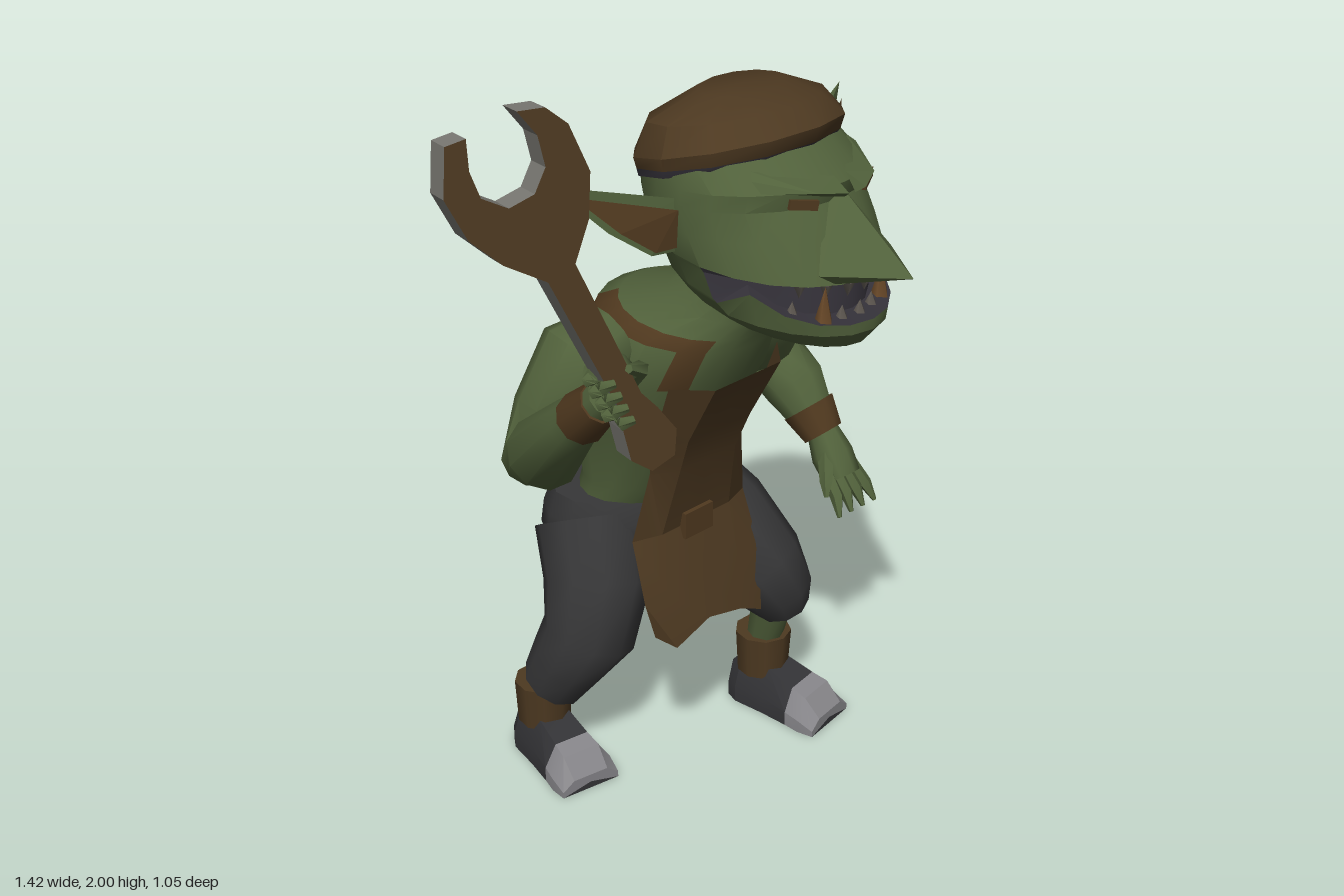
import * as THREE from 'three';
import { toCreasedNormals } from 'three/addons/utils/BufferGeometryUtils.js';
import { ConvexGeometry } from 'three/addons/geometries/ConvexGeometry.js';

const V = (x, y, z) => new THREE.Vector3(x, y, z);
const rad = THREE.MathUtils.degToRad;

function material(name, color) {
  const m = new THREE.MeshStandardMaterial({ color });
  m.name = name;
  return m;
}

// Skins closed rings (counter-clockwise about the path); pick(row, column) gives a material index
function loft(rings, crease = 0.7, pick = () => 0) {
  const n = rings[0].length, pos = [], faces = [];
  rings.forEach(r => r.forEach(p => pos.push(p.x, p.y, p.z)));
  for (const r of [rings[0], rings.at(-1)]) {
    const c = r.reduce((s, p) => s.add(p), V(0, 0, 0)).divideScalar(n);
    pos.push(c.x, c.y, c.z);
  }
  const last = (rings.length - 1) * n, c0 = rings.length * n;
  const put = (k, ...t) => (faces[k] ??= []).push(...t);
  for (let j = 0; j < n; j++) {
    const k = (j + 1) % n;
    for (let i = 0; i < rings.length - 1; i++) {
      const a = i * n + j, b = i * n + k;
      put(pick(i, j), a, b, b + n, a, b + n, a + n);
    }
    put(pick(0, j), c0, k, j);
    put(pick(rings.length - 2, j), c0 + 1, last + j, last + k);
  }
  const g = new THREE.BufferGeometry(), index = [];
  g.setAttribute('position', new THREE.Float32BufferAttribute(pos, 3));
  faces.forEach((f, k) => { g.addGroup(index.length, f.length, k); index.push(...f); });
  g.setIndex(index);
  return toCreasedNormals(g, crease);
}

// Slanted oval ring from a front point to a back point: [frontZ, frontY, backZ, backY, halfWidth]
function oval([fz, fy, bz, by, w], cx, degrees) {
  return degrees.map(d => {
    const a = rad(d), t = (1 + Math.cos(a)) / 2;
    return V(cx + w * Math.sin(a), by + (fy - by) * t, bz + (fz - bz) * t);
  });
}
const even = n => Array.from({ length: n }, (_, i) => i * 360 / n);

// Tapered limb through points [x, y, z, radius]
function limb(points, sides = 10) {
  const p = points.map(q => V(q[0], q[1], q[2]));
  return loft(p.map((c, i) => {
    const t = p[Math.min(i + 1, p.length - 1)].clone().sub(p[Math.max(i - 1, 0)]).normalize();
    const v = V(0, 0, 1).addScaledVector(t, -t.z).normalize(), u = t.clone().cross(v);
    return even(sides).map(d => c.clone()
      .addScaledVector(u, Math.sin(rad(d)) * points[i][3])
      .addScaledVector(v, Math.cos(rad(d)) * points[i][3]));
  }), 0.9);
}

export function createModel() {
  const model = new THREE.Group();
  const skin = material('green skin', 0x51613b), leather = material('brown leather', 0x4d3921);
  const strap = material('strap brown', 0x50391f), cloth = material('trouser grey', 0x373738);
  const boot = material('boot grey', 0x343437), steel = material('steel', 0x7b7a74);
  const toe = material('toe cap grey', 0x87868a), dark = material('dark', 0x35323a);
  const fang = material('tusk', 0x684828), ivory = material('dull teeth', 0x5c564f);
  leather.side = THREE.DoubleSide;
  const add = (name, geo, mat, parent = model) => {
    const m = new THREE.Mesh(geo, mat);
    m.name = name;
    parent.add(m);
    return m;
  };

  // Torso, with the apron straps as narrow columns
  const half = [0, 18, 34, 52, 72, 95, 115, 132, 146, 164, 180];
  const around = [...half, ...half.slice(1, -1).reverse().map(d => 360 - d)];
  const torso = [[-.17, .72, -.42, .72, .17], [-.12, .8, -.41, .78, .165], [-.03, .98, -.435, .95, .205],
    [.06, 1.14, -.405, 1.13, .235], [.1, 1.24, -.335, 1.28, .21], [.11, 1.27, -.28, 1.305, .175],
    [.13, 1.31, -.14, 1.35, .115], [.16, 1.38, -.02, 1.42, .085]];
  add('torso', loft(torso.map(r => oval(r, .17, around)), 0.8, (i, j) => {
    const c = Math.min(j, 19 - j);
    return (c === 7 && i < 4) || (c === 2 && i === 3) || (c >= 2 && c <= 7 && i === 4) ? 1 : 0;
  }), [skin, strap]);

  // Apron sheet: [y, left x, right x, middle z, edge z]
  const rows = [[1.15, -.005, .36, .08, 0], [.98, 0, .35, -.01, -.06], [.88, .02, .335, -.05, -.09],
    [.7, -.02, .365, -.085, -.11], [.56, -.045, .355, -.035, -.04], [.44, -.05, .325, 0, 0]];
  const hem = [.49, .425, .465, .44, .405], cols = [0, .2, .5, .8, 1], pts = [], idx = [];
  rows.forEach(([y, l, r, zm, ze], i) => cols.forEach((f, j) => {
    pts.push(l + (r - l) * f, i === 5 ? hem[j] : y, j % 4 ? zm : ze);
    if (i && j) {
      const a = i * 5 + j;
      idx.push(a - 6, a - 1, a, a - 6, a, a - 5);
    }
  }));
  const sheet = new THREE.BufferGeometry();
  sheet.setAttribute('position', new THREE.Float32BufferAttribute(pts, 3));
  sheet.setIndex(idx);
  add('apron', toCreasedNormals(sheet, 0.3), leather);
  const pocket = add('apronPocket', new THREE.BoxGeometry(.095, .07, .02), strap);
  pocket.position.set(.165, .705, -.075);

  // Trousers
  const hips = [[-.25, .47, -.4, .47, .1], [-.2, .53, -.48, .53, .19], [-.15, .62, -.52, .62, .238],
    [-.14, .69, -.505, .69, .24], [-.165, .75, -.48, .75, .22]];
  add('hips', loft(hips.map(r => oval(r, .17, even(14)))), cloth);
  add('leftTrouserLeg', limb([[.33, .66, -.31, .14], [.37, .56, -.21, .155], [.42, .45, -.09, .125],
    [.45, .39, -.065, .1], [.47, .335, -.065, .075]]), cloth);
  add('rightTrouserLeg', limb([[.03, .66, -.32, .14], [-.01, .53, -.25, .137], [-.055, .4, -.235, .12],
    [-.08, .31, -.285, .1], [-.09, .23, -.33, .085]]), cloth);

  // Belt pouch
  const pouch = new THREE.Group();
  pouch.name = 'beltPouch';
  pouch.position.set(.405, .6, -.4);
  pouch.rotation.set(.08, .35, .05);
  add('pouchBody', new THREE.BoxGeometry(.07, .16, .085), leather, pouch);
  add('pouchFlap', new THREE.BoxGeometry(.085, .05, .1), leather, pouch).position.y = .065;
  model.add(pouch);

  // Shins, ankle wraps and boots: side, ankle x, ankle z, shin top
  for (const [side, x, z, top] of [['left', .48, -.135, [.46, .4, -.07, .06]], ['right', -.095, -.37, [-.08, .28, -.32, .06]]]) {
    add(side + 'Shin', limb([top, [x, .17, z, .045]], 8), skin);
    const wrap = add(side + 'AnkleWrap', new THREE.CylinderGeometry(.075, .068, .12, 9), leather);
    wrap.position.set(x, .155, z);
    const foot = [[-.075, .05, .1], [-.04, .068, .125], [.05, .072, .125], [.13, .08, .1], [.175, .087, .088], [.22, .083, .04]];
    const shoe = add(side + 'Boot', loft(foot.map(([d, w, h]) =>
      [[w, 0], [w, .4 * h], [.6 * w, h], [-.6 * w, h], [-w, .4 * h], [-w, 0]].map(([a, b]) => V(a, b, d))),
      0.4, (i, j) => i > 2 && j < 5 ? 1 : 0), [boot, toe]);
    shoe.position.set(x, 0, z);
    shoe.rotation.y = side === 'left' ? .15 : -.17;
  }

  // Left arm hanging, open hand
  add('leftArm', limb([[.36, 1.24, -.17, .08], [.44, 1.205, -.18, .115], [.53, 1.07, -.225, .105],
    [.6, .96, -.255, .085], [.625, .88, -.18, .085], [.635, .77, -.09, .048]]), skin);
  add('leftWristband', limb([[.632, .825, -.135, .073], [.637, .765, -.085, .055]]), strap);
  add('leftPalm', limb([[.635, .78, -.09, .04], [.63, .72, -.045, .055], [.63, .67, -.01, .05]], 8), skin);
  for (let i = 0; i < 4; i++) {
    const x = .585 + i * .03;
    add('leftFinger', limb([[x, .69, -.02, .018], [x - .005 + i * .006, .64, .02, .018], [x - .02 + i * .015, .595, .045, .006]], 5), skin);
  }
  add('leftThumb', limb([[.6, .73, -.04, .022], [.56, .685, 0, .018], [.545, .65, .015, .006]], 5), skin);

  // Right arm raised
  add('rightArm', limb([[-.02, 1.24, -.17, .08], [-.1, 1.205, -.18, .115], [-.18, 1.07, -.2, .105],
    [-.255, .985, -.195, .075], [-.3, 1.06, -.1, .09], [-.335, 1.2, .04, .062], [-.355, 1.32, .17, .042]]), skin);
  add('rightWristband', limb([[-.338, 1.225, .07, .062], [-.352, 1.3, .15, .05]]), strap);

  // Wrench: brown faces, steel edges
  const outline = [[-.03, 0], [.03, 0], [.06, .05], [.045, .12], [.028, .17], [.032, .5], [.1, .565], [.148, .65],
    [.152, .76], [.125, .815], [.07, .84], [.085, .775], [.07, .71], [.025, .675], [-.035, .68], [-.075, .73], [-.07, .79],
    [-.045, .85], [-.09, .86], [-.142, .77], [-.138, .67], [-.1, .585], [-.036, .5], [-.03, .17], [-.045, .12], [-.06, .05]];
  const wrenchGeo = new THREE.ExtrudeGeometry(new THREE.Shape(outline.map(q => new THREE.Vector2(...q))),
    { depth: .07, bevelEnabled: false }).translate(0, 0, -.035);
  const axis = V(-.24, .64, -.16).normalize(), face = V(-.25, 0, 1);
  face.addScaledVector(axis, -face.dot(axis)).normalize();
  const wrench = add('wrench', wrenchGeo, [leather, steel]);
  wrench.quaternion.setFromRotationMatrix(new THREE.Matrix4().makeBasis(axis.clone().cross(face), axis, face));
  wrench.position.set(-.315, 1.2, .28);

  // Right fist, in the wrench's own frame
  add('rightPalm', new THREE.SphereGeometry(.055, 8, 6).scale(1, 1.15, .6).translate(.01, .19, -.05), skin, wrench);
  for (let i = 0; i < 4; i++) {
    const y = .14 + i * .032;
    add('rightFinger', limb([[-.02, y, -.055, .016], [-.046, y + .005, -.01, .017], [-.04, y, .042, .016], [-.015, y - .005, .047, .01]], 5), skin, wrench);
  }
  add('rightThumb', limb([[.045, .17, -.04, .022], [.055, .21, .02, .019], [.025, .24, .047, .01]], 5), skin, wrench);

  // Head, turned and tipped a little
  const headPivot = new THREE.Group(), head = new THREE.Group();
  headPivot.name = 'head';
  head.name = 'headParts';
  headPivot.position.set(.17, 1.55, .05);
  headPivot.rotation.set(0, .085, -.035);
  head.position.set(0, -1.55, -.05);
  headPivot.add(head);
  model.add(headPivot);
  // The lower lip curls up to meet the upper one at the corners of the mouth
  const ha = even(20), inMouth = d => Math.cos(rad(d)) > .1;
  const curl = a => .1 * (1 - Math.cos(a)) ** 2;
  const skull = [[.33, 1.33, .06, 1.33, .07], [.405, 1.345, 0, 1.37, .14], [.435, 1.385, -.06, 1.425, .2],
    [.435, 1.41, -.09, 1.465, .222], [.425, 1.418, -.1, 1.475, .225], [.41, 1.49, -.125, 1.52, .235],
    [.41, 1.5, -.135, 1.535, .243], [.365, 1.59, -.155, 1.58, .25], [.325, 1.66, -.165, 1.62, .25],
    [.335, 1.7, -.17, 1.66, .25], [.24, 1.765, -.165, 1.69, .24]];
  const skullRings = skull.map((r, i) => oval(r, 0, ha).map((p, j) => {
    if (inMouth(ha[j])) {
      if (i === 3 || i === 4) p.y += curl(rad(ha[j]));
      if (i === 4 || i === 5) {
        p.x *= .87;
        p.z = .15 + (p.z - .15) * .82;
      }
    }
    return p;
  }));
  add('skull', loft(skullRings, 0.5, (i, j) => i >= 3 && i <= 5 && inMouth(ha[j] + 9) ? 1 : 0), [skin, dark], head);

  // Teeth and tusks along the jaw
  for (let i = -3; i <= 3; i++) {
    for (const up of [true, false]) {
      const a = i * .27 + (up ? 0 : .06), tusk = up && Math.abs(i) === 2, h = tusk ? .085 : .036;
      const cone = new THREE.ConeGeometry(tusk ? .022 : .017, h, 5);
      if (!up) cone.rotateX(Math.PI);
      const t = add(tusk ? 'tusk' : 'tooth', cone, tusk ? fang : ivory, head);
      const sink = (1 - Math.cos(a)) * .022, out = tusk ? .262 : .245;
      t.position.set(.2 * Math.sin(a), up ? 1.408 + sink + curl(a) + h / 2 : 1.48 + sink, .15 + out * Math.cos(a));
    }
  }

  // Broad wedge nose
  add('nose', new ConvexGeometry([V(0, 1.685, .33), V(0, 1.53, .53), V(0, 1.495, .41), V(.04, 1.66, .31), V(-.04, 1.66, .31),
    V(.13, 1.53, .375), V(-.13, 1.53, .375), V(.09, 1.505, .39), V(-.09, 1.505, .39)]), skin, head);

  // Brows, eyes and ears, mirrored
  for (const s of [1, -1]) {
    const at = (x, y, z) => V(s * x, y, z);
    add('brow', new ConvexGeometry([at(.02, 1.675, .35), at(.02, 1.715, .32), at(.03, 1.69, .37), at(.185, 1.72, .225),
      at(.18, 1.695, .25), at(.17, 1.735, .21), at(.1, 1.7, .34)]), skin, head);
    const eye = add('eye', new THREE.BoxGeometry(.07, .022, .009), strap, head);
    eye.position.set(s * .115, 1.672, .313);
    eye.rotation.set(0, s * .42, s * .15);
    add('ear', new ConvexGeometry([at(.235, 1.655, .07), at(.235, 1.53, .06), at(.235, 1.62, -.01), at(.235, 1.55, 0),
      at(.3, 1.535, .05), at(.39, 1.6, .005), at(.33, 1.665, .015), at(.505, 1.72, -.06)]), skin, head);
    add('innerEar', new ConvexGeometry([at(.25, 1.635, .08), at(.25, 1.548, .078), at(.305, 1.548, .066), at(.385, 1.606, .035),
      at(.33, 1.645, .045), at(.47, 1.695, -.025), at(.33, 1.61, .02)]), strap, head);
  }

  // Cap with a dark band
  const cap = [[.235, 1.75, -.165, 1.64, .25], [.25, 1.768, -.172, 1.658, .256], [.26, 1.805, -.182, 1.68, .263],
    [.2, 1.84, -.148, 1.77, .23], [.12, 1.857, -.04, 1.85, .12]];
  add('cap', loft(cap.map(r => oval(r, 0, even(12))), 0.7, i => i ? 1 : 0), [dark, leather], head);

  return model;
}
